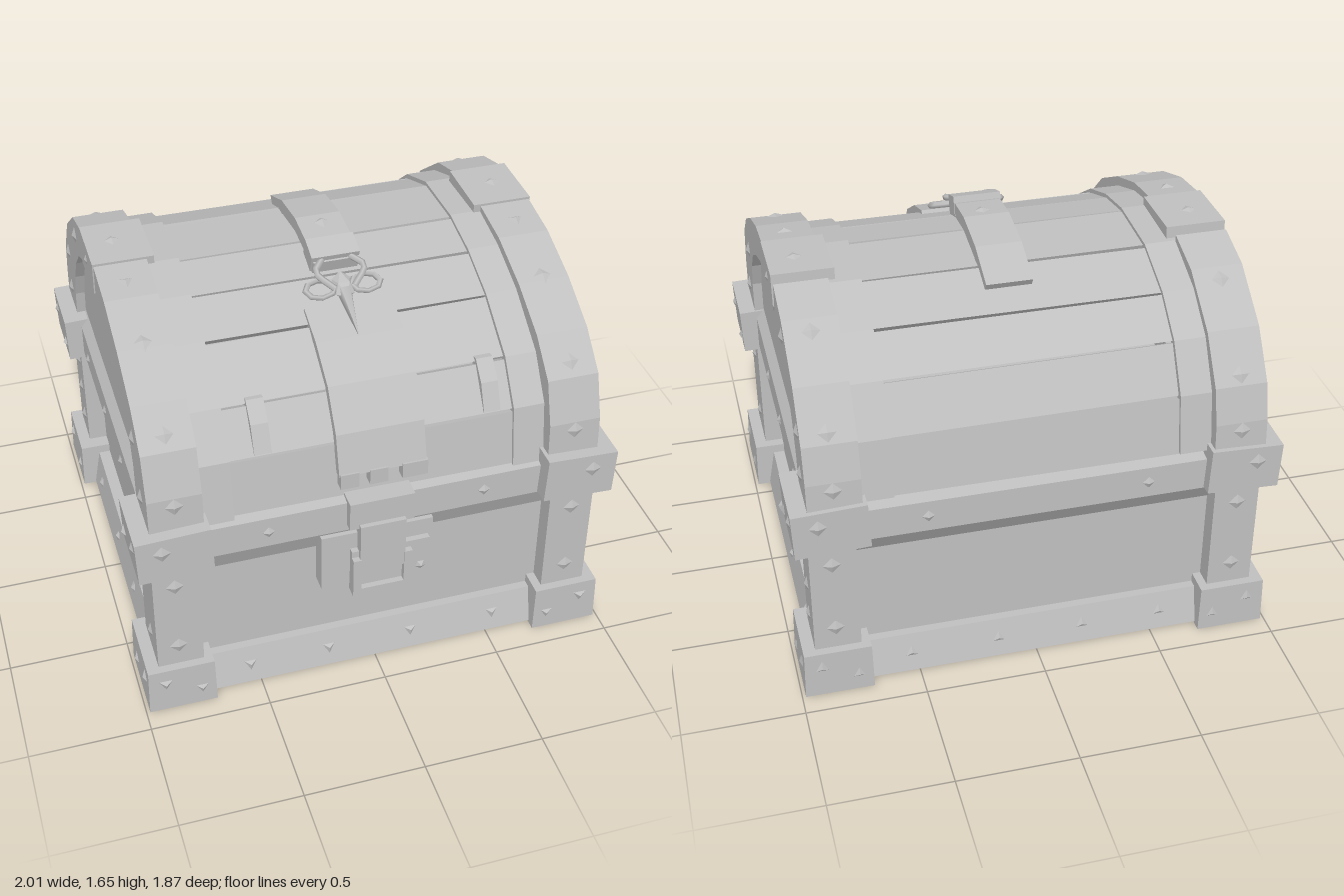
import * as THREE from 'three';

const grey = new THREE.MeshStandardMaterial({ color: 0xbfbfbf });
grey.name = 'grey';

// Lid cross-sections as [z, y], front to back
const BAND = [[0.87, 0.93], [0.86, 1.08], [0.8, 1.26], [0.66, 1.39], [0.45, 1.5], [0.22, 1.58], [0.01, 1.61],
  [-0.31, 1.6], [-0.5, 1.545], [-0.72, 1.385], [-0.85, 1.2], [-0.89, 1.05], [-0.9, 0.93]];
const INNER = [[0.63, 0.93], [0.62, 1.08], [0.57, 1.2], [0.47, 1.31], [0.32, 1.39], [0.16, 1.45], [0.0, 1.48],
  [-0.29, 1.46], [-0.42, 1.4], [-0.54, 1.29], [-0.62, 1.17], [-0.67, 1.05], [-0.69, 0.93]];
const PLANK = [[0.81, 0.87], [0.77, 1.13], [0.65, 1.3], [0.42, 1.45], [0.21, 1.53], [0, 1.57], [-0.3, 1.56],
  [-0.53, 1.47], [-0.69, 1.34], [-0.8, 1.15], [-0.84, 0.9]];

function add(parent, name, geometry) {
  const mesh = new THREE.Mesh(geometry, grey);
  mesh.name = name;
  parent.add(mesh);
  return mesh;
}

// Solid with a [z, y] outline, running along x from x0 to x1
function prism(points, x0, x1) {
  const shape = new THREE.Shape(points.map(([z, y]) => new THREE.Vector2(z, y)));
  return new THREE.ExtrudeGeometry(shape, { depth: x1 - x0, bevelEnabled: false })
    .rotateY(-Math.PI / 2).translate(x1, 0, 0);
}

// Closed outline of a curved strip, thickened by d towards the lid's middle
function strip(points, d) {
  const inner = points.map(([z, y]) => {
    const v = new THREE.Vector2(z + 0.02, y - 0.93);
    v.setLength(Math.max(v.length() - d, 0.01));
    return [v.x - 0.02, v.y + 0.93];
  });
  return [...points, ...inner.reverse()];
}

// Box given by its limits, optionally narrowed at the top
function block(x0, x1, y0, y1, z0, z1, taper = 1) {
  const g = new THREE.BoxGeometry(x1 - x0, y1 - y0, z1 - z0);
  const p = g.attributes.position;
  for (let i = 0; i < p.count; i++) {
    if (p.getY(i) > 0) p.setXYZ(i, p.getX(i) * taper, p.getY(i), p.getZ(i) * taper);
  }
  g.computeVertexNormals();
  return g.translate((x0 + x1) / 2, (y0 + y1) / 2, (z0 + z1) / 2);
}

// Low pyramid stud set into a surface
function stud(parent, x, y, z, normal, sides = 4, r = 0.045) {
  const g = new THREE.ConeGeometry(r, 0.016, sides, 1).toNonIndexed();
  g.computeVertexNormals();
  const mesh = add(parent, 'stud', g);
  const n = new THREE.Vector3(...normal).normalize();
  mesh.quaternion.setFromUnitVectors(new THREE.Vector3(0, 1, 0), n);
  mesh.position.set(x, y, z).addScaledVector(n, 0.005);
}

function buildBody(body) {
  add(body, 'bodyWalls', block(-0.85, 0.85, 0.03, 0.86, -0.79, 0.79));
  for (const f of [1, -1]) {
    // front and back rails, the lower one leaning inwards
    const out = f > 0 ? 0.85 : 0.87;
    add(body, 'bottomRail', prism([[f * 0.75, 0.02], [f * 0.87, 0.02], [f * 0.825, 0.18], [f * 0.75, 0.18]], -0.85, 0.85));
    add(body, 'rimRail', prism([[f * 0.74, 0.64], [f * 0.8, 0.64], [f * out, 0.74], [f * out, 0.88], [f * 0.74, 0.9]], -0.85, 0.85));
    for (const x of [-0.54, -0.2, 0.16, 0.53]) stud(body, x, 0.1, f * 0.848, [0, 0.28, f], 3, 0.035);
    for (const x of [-0.45, 0.45]) stud(body, x, 0.81, f * out, [0, 0, f], 4, 0.032);
    // side rails
    const foot = add(body, 'sideBottomRail', prism([[0.8, 0.02], [0.93, 0.02], [0.9, 0.18], [0.8, 0.18]], -0.8, 0.8));
    const rail = add(body, 'sideRimRail', prism([[0.78, 0.63], [0.85, 0.63], [0.92, 0.76], [0.92, 0.9], [0.88, 0.95], [0.78, 0.95]], -0.75, 0.75));
    foot.rotation.y = rail.rotation.y = f * Math.PI / 2;
    [0.26, -0.09, -0.48].forEach((z, i) => {
      stud(body, f * 0.915, 0.1, z, [f, 0.19, 0], 5 - (i % 2), 0.033);
      stud(body, f * 0.92, 0.82, z, [f, 0, 0], 5, 0.03);
      stud(body, f * 0.877, 0.68, [0.4, -0.03, -0.48][i], [f, -0.54, 0], 3, 0.028);
    });
  }
  // corner feet, posts and rim corners
  for (const sx of [1, -1]) for (const sz of [1, -1]) {
    const corner = new THREE.Group();
    corner.name = 'corner';
    body.add(corner);
    const span = (s, a, b) => (s > 0 ? [a, b] : [-b, -a]);
    const [x0, x1] = span(sx, 0.7, 0.985), [px0, px1] = span(sx, 0.74, 0.93);
    const [z0, z1] = span(sz, sz > 0 ? 0.57 : 0.6, 0.91), [pz0, pz1] = span(sz, sz > 0 ? 0.62 : 0.67, 0.87);
    add(corner, 'foot', block(x0, x1, 0.01, 0.22, z0, z1, 0.97));
    add(corner, 'post', block(px0, px1, 0.18, 0.78, pz0, pz1));
    const cap = add(corner, 'rimCorner', block(-0.15, 0.15, -0.1, 0.1, -0.15, 0.15));
    cap.position.set(sx * 0.84, 0.84, sz * 0.77);
    cap.rotation.z = -sx * 0.04;
    for (const y of [0.32, 0.64]) {
      stud(corner, sx * 0.84, y, sz * 0.87, [0, 0, sz]);
      stud(corner, sx * 0.93, y, sz * 0.75, [sx, 0, 0]);
    }
    if (sz < 0) stud(corner, sx * 0.93, 0.48, -0.76, [sx, 0, 0]);
    stud(corner, sx * 0.89, 0.87, sz * 0.92, [0, 0, sz]);
    stud(corner, sx * 0.99, 0.87, sz * 0.85, [sx, 0, 0]);
    stud(corner, sx * 0.99, 0.8, sz * 0.67, [sx, 0, 0], 3, 0.032);
    for (const [a, y] of [[0.91, 0.15], [0.76, 0.09]]) stud(corner, sx * a, y, sz * 0.907, [0, 0, sz], 3, 0.038);
    for (const [a, y] of [[0.84, 0.15], [0.67, 0.09]]) stud(corner, sx * 0.982, y, sz * a, [sx, 0, 0], 3, 0.038);
  }
}

function buildLid(lid) {
  // separate planks with narrow gaps
  for (let i = 0; i < PLANK.length - 1; i++) {
    const [a, b] = [PLANK[i], PLANK[i + 1]];
    const at = (t) => [a[0] + (b[0] - a[0]) * t, a[1] + (b[1] - a[1]) * t];
    const plank = add(lid, 'plank', prism(strip([at(0.02), at(0.97)], 0.045), -0.76, 0.76));
    plank.rotation.y = 0.006 * ((i % 3) - 1);
  }
  for (const s of [1, -1]) {
    const across = (pts, a, b) => prism(pts, s > 0 ? a : -b, s > 0 ? b : -a);
    add(lid, 'endPanel', across(INNER.map(([z, y]) => [z * 1.05, y + 0.015]), 0.82, 0.885));
    // band in two lengths under a raised cap
    for (const [i, j] of [[0, 6], [7, 12]]) {
      const outline = [...BAND.slice(i, j + 1), ...INNER.slice(i, j + 1).reverse()];
      add(lid, 'band', across(outline, 0.71, 0.925));
    }
    add(lid, 'bandCap', across([[0.01, 1.62], [-0.28, 1.625], [-0.29, 1.49], [-0.27, 1.46], [0, 1.48]], 0.68, 0.93));
    // lower strip beside the band
    add(lid, 'innerStrip', across(strip(PLANK.map(([z, y]) => [z * 1.02, y + 0.015]), 0.04), 0.58, 0.74));
    // studs over the curve and on the outer face
    for (const [i, t] of [[0, 0.75], [2, 0.35], [4, 0.1], [5, 0.45], [6, 0.5], [8, 0.2], [9, 0.8], [11, 0.3]]) {
      const [a, b] = [BAND[i], BAND[i + 1]];
      const lift = i === 6 ? 0.016 : 0;
      stud(lid, s * 0.82, a[1] + (b[1] - a[1]) * t + lift, a[0] + (b[0] - a[0]) * t,
        [0, a[0] - b[0], b[1] - a[1]], i === 5 ? 3 : 4, 0.045);
    }
    for (const [z, y] of [[0.74, 1.02], [0.65, 1.24], [-0.15, 1.55], [-0.48, 1.47], [-0.76, 1.22], [-0.77, 1.03]]) {
      stud(lid, s * 0.926, y, z, [s, 0, 0]);
    }
    // small catch on the front slope
    const catchX = s > 0 ? 0.495 : -0.445;
    add(lid, 'catch', prism([[0.58, 1.31], [0.65, 1.32], [0.72, 1.25], [0.77, 1.14], [0.72, 1.13], [0.62, 1.28]], catchX - 0.035, catchX + 0.035));
  }
}

function buildLock(lock) {
  // curved hasp with three tabs
  add(lock, 'hasp', prism(strip([[0.36, 1.49], [0.52, 1.435], [0.68, 1.335], [0.79, 1.18], [0.84, 1.01]], 0.04), -0.16, 0.2));
  for (const [a, b] of [[-0.155, -0.08], [-0.035, 0.04], [0.1, 0.205]]) add(lock, 'haspTab', block(a, b, 0.95, 1.02, 0.8, 0.845));
  // strap over the top
  add(lock, 'strap', prism(strip([[0.22, 1.6], [0.1, 1.64], [-0.05, 1.655], [-0.25, 1.625], [-0.43, 1.55]], 0.06), -0.08, 0.11));
  stud(lock, 0.02, 1.65, 0, [0, 1, 0], 4, 0.04);
  const end = add(lock, 'strapEnd', block(-0.1, 0.1, -0.04, 0.04, -0.05, 0.05));
  end.position.set(0.012, 1.605, 0.16);
  end.rotation.x = 0.35;
  // knotted ornament hanging from the strap
  const knot = new THREE.Group();
  knot.name = 'ornament';
  knot.position.set(0.015, 1.535, 0.31);
  knot.rotation.x = 0.45;
  lock.add(knot);
  for (const s of [1, -1]) {
    const loop = add(knot, 'loop', new THREE.TorusGeometry(0.06, 0.014, 5, 8).rotateX(Math.PI / 2));
    loop.position.set(s * 0.095, 0, 0);
    loop.scale.z = 0.7;
    const arm = [[0.06, 0.02, -0.12], [0.1, 0.03, -0.06], [0.04, 0.02, 0.02]].map(([x, y, z]) => new THREE.Vector3(s * x, y, z));
    add(knot, 'cord', new THREE.TubeGeometry(new THREE.CatmullRomCurve3(arm), 6, 0.014, 5));
  }
  const core = add(knot, 'knotCore', new THREE.IcosahedronGeometry(0.05, 0));
  core.scale.set(0.9, 0.6, 1.4);
  add(knot, 'tail', new THREE.ConeGeometry(0.032, 0.22, 5).rotateX(Math.PI / 2)).position.set(0, 0, 0.13);
  // lock plate, tongue and shackle on the body
  add(lock, 'lockPlate', block(-0.24, 0.23, 0.46, 0.73, 0.78, 0.865));
  add(lock, 'lockBox', block(-0.12, 0.21, 0.46, 0.65, 0.83, 0.89));
  add(lock, 'tongueTop', block(-0.13, 0.14, 0.77, 0.9, 0.8, 0.89));
  add(lock, 'tongue', block(-0.09, 0.1, 0.55, 0.79, 0.82, 0.91));
  for (const [a, b, c, d] of [[-0.12, -0.085, 0.43, 0.62], [0.095, 0.13, 0.43, 0.62], [-0.12, 0.13, 0.43, 0.465]]) {
    add(lock, 'shackle', block(a, b, c, d, 0.86, 0.915));
  }
  stud(lock, 0.175, 0.51, 0.89, [0, 0, 1], 5, 0.028);
}

export function createModel() {
  const model = new THREE.Group();
  model.name = 'chest';
  for (const [name, build] of [['body', buildBody], ['lid', buildLid], ['lock', buildLock]]) {
    const part = new THREE.Group();
    part.name = name;
    build(part);
    model.add(part);
  }
  return model;
}
